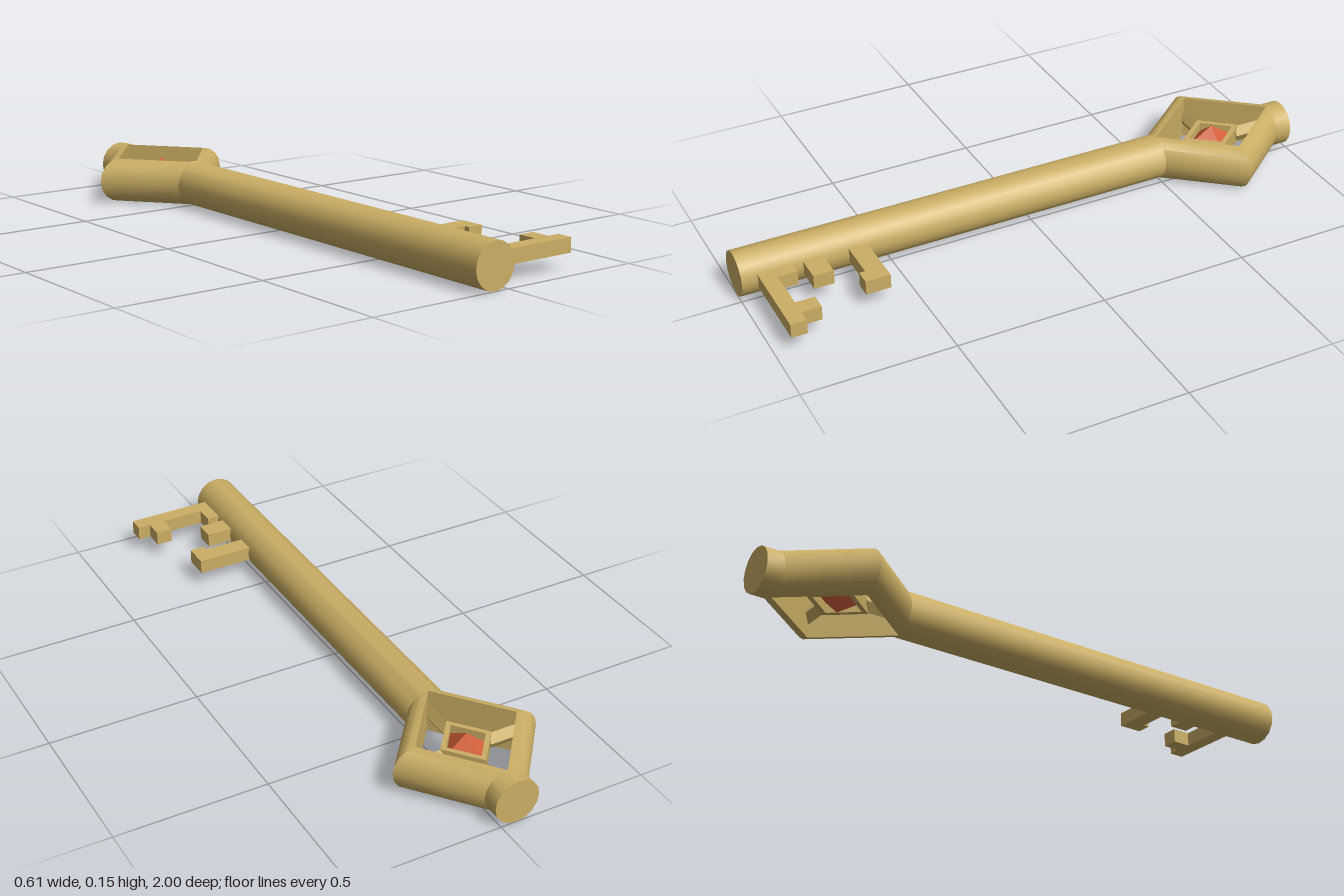
import * as THREE from 'three';
import { toCreasedNormals } from 'three/addons/utils/BufferGeometryUtils.js';

const CX = -0.052, R = 0.075, BOW_Z = -0.72;

// Shaft made of two half-rounds that spread apart into a diamond-shaped bow
function bodyGeometry() {
  const stations = [[-1, 0], [-0.942, 0], [BOW_Z, 0.178], [-0.5, 0], [1, 0]]; // z, spread
  const pos = [];
  for (const side of [1, -1]) {
    const tri = (a, b, c) => pos.push(...a, ...(side > 0 ? b : c), ...(side > 0 ? c : b));
    const rings = stations.map(([z, d]) => Array.from({ length: 9 }, (_, i) => {
      const t = -Math.PI / 2 + (i * Math.PI) / 8;
      return [CX + side * (d + R * Math.cos(t)), R + R * Math.sin(t), z];
    }));
    for (let k = 0; k < rings.length - 1; k++) {
      const open = stations[k][1] + stations[k + 1][1] > 0;
      // the ninth face is the flat wall inside the bow
      for (let i = 0; i < (open ? 9 : 8); i++) {
        const j = (i + 1) % 9, p = rings[k], q = rings[k + 1];
        tri(p[i], p[j], q[j]);
        tri(p[i], q[j], q[i]);
      }
    }
    // end caps
    const first = rings[0], last = rings[rings.length - 1];
    for (let i = 1; i < 8; i++) {
      tri(last[0], last[i], last[i + 1]);
      tri(first[0], first[i + 1], first[i]);
    }
  }
  const g = new THREE.BufferGeometry();
  g.setAttribute('position', new THREE.Float32BufferAttribute(pos, 3));
  g.computeVertexNormals();
  return toCreasedNormals(g, 0.55);
}

// Flat outline in x/z, extruded upwards from y0 to y1
function plate(shape, y0, y1) {
  const g = new THREE.ExtrudeGeometry(shape, { depth: y1 - y0, bevelEnabled: false });
  return g.rotateX(Math.PI / 2).translate(0, y1, 0);
}

const outline = (pts) => pts.map(([x, z]) => new THREE.Vector2(x, z));
const diamond = (a, b) => outline([[a, 0], [0, b], [-a, 0], [0, -b]]);

export function createModel() {
  const group = new THREE.Group();
  const gold = new THREE.MeshStandardMaterial({ color: 0xcaae64 });
  gold.name = 'gold';
  const red = new THREE.MeshStandardMaterial({ color: 0xd5613a });
  red.name = 'gem red';
  const add = (name, geometry, material = gold) => {
    const mesh = new THREE.Mesh(geometry, material);
    mesh.name = name;
    group.add(mesh);
    return mesh;
  };

  add('shaftAndBow', bodyGeometry());

  // Gem and its diamond setting
  const setting = new THREE.Shape(diamond(0.09, 0.11));
  setting.holes.push(new THREE.Path(diamond(0.07, 0.086)));
  add('gemSetting', plate(setting, 0.042, 0.108)).position.set(CX, 0, BOW_Z);
  const gem = add('gem', new THREE.OctahedronGeometry(1), red);
  gem.scale.set(0.07, 0.06, 0.09);
  gem.position.set(CX, R, BOW_Z);

  // Four ridged struts from the setting to the bow corners
  for (let i = 0; i < 4; i++) {
    const alongX = i % 2 === 0;
    const [from, to] = alongX ? [0.078, 0.182] : [0.096, 0.222];
    const g = new THREE.CylinderGeometry(1, 1, to - from, 4, 1);
    g.rotateX(Math.PI / 2).scale(0.019, 0.03, 1).translate(0, 0, (from + to) / 2);
    g.rotateY((i + 1) * Math.PI / 2);
    add('bowStrut', toCreasedNormals(g, 0.2)).position.set(CX, R, BOW_Z);
  }

  // Key teeth, rooted inside the shaft
  const root = -0.02;
  const teeth = {
    innerTooth: [[root, 0.585], [0.205, 0.585], [0.205, 0.668], [0.153, 0.668], [0.153, 0.648], [root, 0.648]],
    middleTooth: [[root, 0.732], [0.106, 0.732], [0.106, 0.799], [root, 0.799]],
    outerTooth: [[root, 0.832], [0.06, 0.832], [0.06, 0.896], [0.205, 0.896], [0.205, 0.832],
      [0.26, 0.832], [0.26, 0.896], [0.303, 0.896], [0.303, 0.948], [root, 0.948]],
  };
  for (const [name, pts] of Object.entries(teeth)) {
    add(name, plate(new THREE.Shape(outline(pts)), 0.052, 0.1));
  }
  return group;
}
